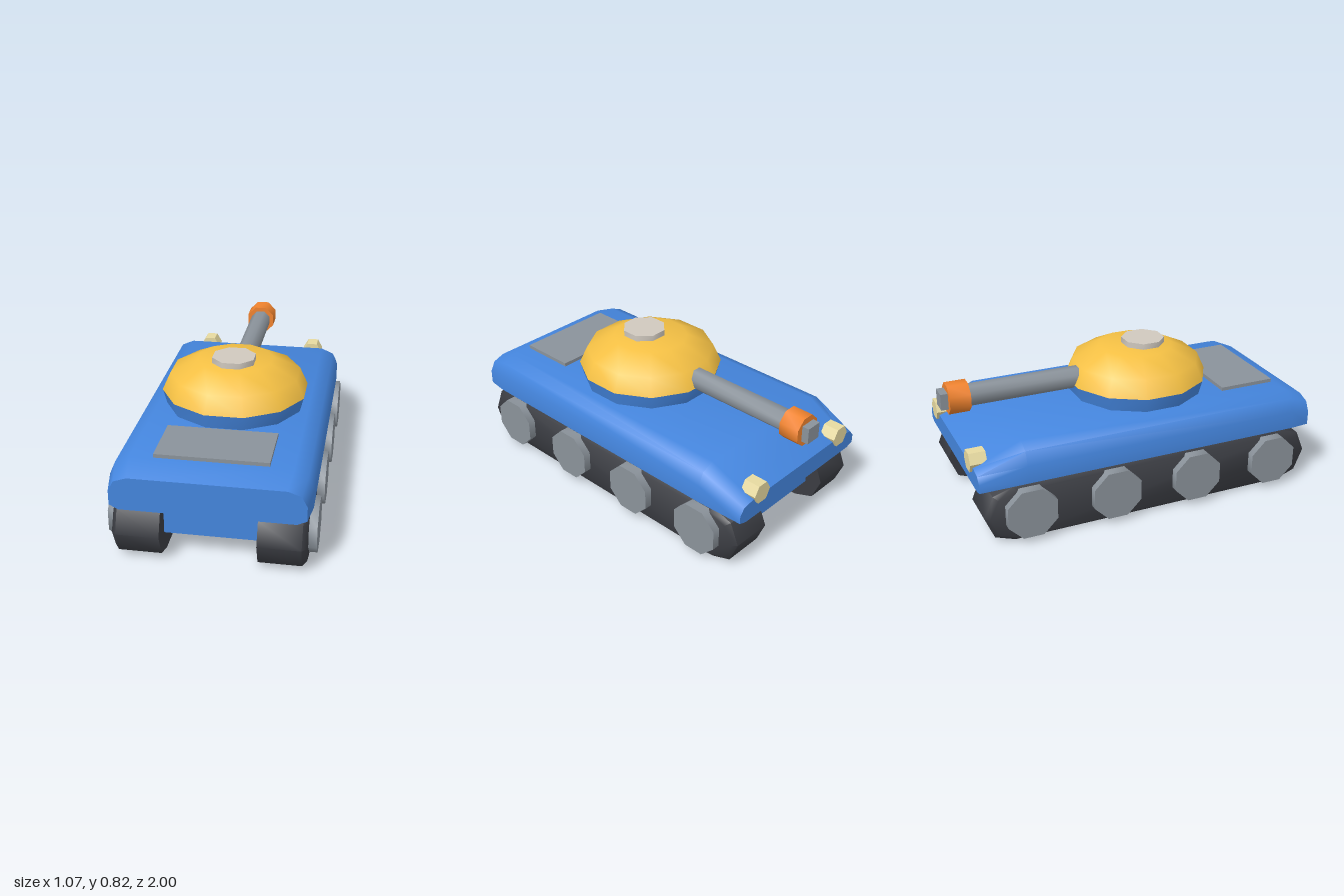
import * as THREE from 'three';
import { toCreasedNormals } from 'three/addons/utils/BufferGeometryUtils.js';

const material = (color) => new THREE.MeshStandardMaterial({ color });
const blue = material(0x4485dd);
const yellow = material(0xf4c044);
const orange = material(0xf0832e);
const rubber = material(0x3a3c42);
const steel = material(0x8a929a);
const pale = material(0xcfc8be);
const lamp = material(0xe6d9a0);

// Closed solid through convex rings [[x, y, z], ...], counter-clockwise from +z, in order of rising z
function loft(rings) {
  const n = rings[0].length;
  const last = (rings.length - 1) * n;
  const index = [];
  for (let r = 0; r < rings.length - 1; r++) {
    for (let j = 0; j < n; j++) {
      const a = r * n + j, b = r * n + (j + 1) % n;
      index.push(a, b, b + n, a, b + n, a + n);
    }
  }
  for (let j = 1; j < n - 1; j++) {
    index.push(0, j + 1, j, last, last + j, last + j + 1);
  }
  const geometry = new THREE.BufferGeometry();
  geometry.setAttribute('position', new THREE.Float32BufferAttribute(rings.flat(2), 3));
  geometry.setIndex(index);
  return geometry;
}

// Regular prism with a flat side towards each axis; sizes are centre-to-flat distances
function prism(top, bottom, height, sides) {
  const k = 1 / Math.cos(Math.PI / sides);
  return new THREE.CylinderGeometry(top * k, bottom * k, height, sides).rotateY(Math.PI / sides);
}

export function createModel() {
  const model = new THREE.Group();
  const add = (name, geometry, mat, x = 0, y = 0, z = 0) => {
    const mesh = new THREE.Mesh(toCreasedNormals(geometry, 0.9), mat);
    mesh.name = name;
    mesh.position.set(x, y, z);
    model.add(mesh);
  };

  // Upper hull: rounded section, narrowed and lowered at both ends
  const half = [[0.46, 0], [0.51, 0.03], [0.51, 0.13], [0.48, 0.2], [0.41, 0.23]];
  const section = [...half, ...half.map(([x, y]) => [-x, y]).reverse()];
  const stations = [[-0.94, 0.95, 0.48], [-0.69, 1, 1], [0.88, 1, 1], [1, 0.96, 0.78]];
  add('upperHull', loft(stations.map(([z, w, h]) =>
    section.map(([x, y]) => [x * w, 0.31 + y * h, z]))), blue);

  // Belly between the tracks
  add('lowerHull', new THREE.BoxGeometry(0.5, 0.2, 1.7), blue, 0, 0.22, 0.03);
  add('engineCover', new THREE.BoxGeometry(0.58, 0.03, 0.32), steel, 0, 0.545, 0.705);

  // Tracks: long rounded outline with a chamfered outer edge
  const end = [[0.8, -0.16], [0.91, -0.12], [0.96, 0], [0.91, 0.12], [0.8, 0.155]];
  const outline = [...end, ...end.map(([u, v]) => [-u, v]).reverse()];
  const trackRing = (x, su = 1, sv = 1) => outline.map(([u, v]) => [u * su, v * sv, x]);
  for (const side of [1, -1]) {
    const label = side > 0 ? 'left' : 'right';
    const rings = [trackRing(side * 0.245), trackRing(side * 0.467), trackRing(side * 0.49, 0.975, 0.86)];
    if (side < 0) rings.reverse();
    add(label + 'Track', loft(rings).rotateY(Math.PI / 2), rubber, 0, 0.16, 0.04);

    // Road wheels
    for (let i = 0; i < 4; i++) {
      add(label + 'Wheel' + (i + 1), prism(0.135, 0.135, 0.08, 8).rotateZ(Math.PI / 2), steel,
        side * 0.493, 0.17, 0.755 - i * 0.478);
    }

    // Six-sided headlight
    add(label + 'Headlight', new THREE.CylinderGeometry(0.06, 0.06, 0.09, 6)
      .rotateY(Math.PI / 2).rotateX(Math.PI / 2), lamp, side * 0.335, 0.443, -0.91);
  }

  // Turret: flared ring, faceted dome and hatch
  add('turretRing', prism(0.387, 0.367, 0.08, 12), blue, 0, 0.58, 0.135);
  const k = 1 / Math.cos(Math.PI / 12);
  const dome = [[0, 0.62], [0.388, 0.62], [0.345, 0.717], [0.2, 0.79], [0, 0.79]];
  add('turretDome', new THREE.LatheGeometry(dome.map(([r, y]) => new THREE.Vector2(r * k, y)), 12)
    .rotateY(Math.PI / 12), yellow, 0, 0, 0.135);
  add('hatch', prism(0.112, 0.112, 0.05, 8), pale, 0, 0.797, 0.182);

  // Gun, pointing towards -z
  const gunPart = (r, length) => prism(r, r, length, 8).rotateX(Math.PI / 2);
  add('gunBarrel', gunPart(0.056, 0.8), steel, 0, 0.65, -0.46);
  add('muzzleCollar', gunPart(0.08, 0.115), orange, 0, 0.65, -0.9025);
  add('muzzleTip', new THREE.BoxGeometry(0.09, 0.09, 0.1), steel, 0, 0.65, -0.95);

  return model;
}
